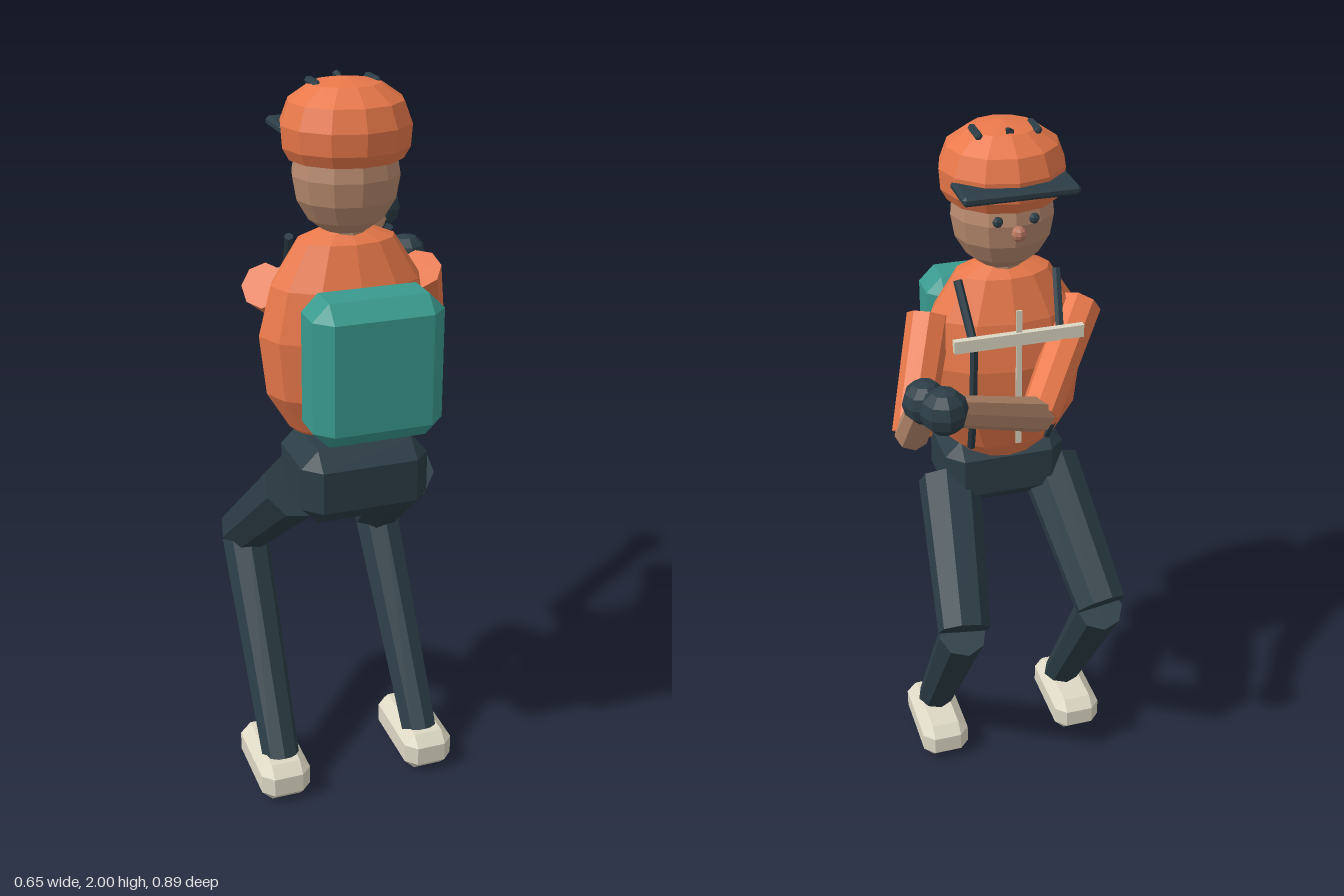
import * as THREE from 'three';
import { ConvexGeometry } from 'three/addons/geometries/ConvexGeometry.js';

const CX = -0.037, CZ = 0.155; // body axis

const paint = (color) => new THREE.MeshStandardMaterial({ color, flatShading: true });
const orange = paint(0xe8784a), teal = paint(0x3a9a8f), dark = paint(0x2c3d46);
const skin = paint(0xb88a6e), cream = paint(0xddd8c4), noseTone = paint(0xb87860);

export function createModel() {
  const model = new THREE.Group();
  model.name = 'hiker';

  const add = (name, geometry, material, x = 0, y = 0, z = 0) => {
    const mesh = new THREE.Mesh(geometry, material);
    mesh.name = name;
    mesh.position.set(x, y, z);
    model.add(mesh);
    return mesh;
  };

  // box with every edge cut at 45 degrees
  const chamferBox = (w, h, d, c) => {
    const pts = [];
    for (const sx of [-1, 1]) for (const sy of [-1, 1]) for (const sz of [-1, 1]) {
      for (let k = 0; k < 3; k++) {
        const cut = [c, c, c];
        cut[k] = 0;
        pts.push(new THREE.Vector3(sx * (w / 2 - cut[0]), sy * (h / 2 - cut[1]), sz * (d / 2 - cut[2])));
      }
    }
    return new ConvexGeometry(pts);
  };

  // tapered limb between two points
  const limb = (name, from, to, r0, r1, material, sides = 8) => {
    const a = new THREE.Vector3(...from), b = new THREE.Vector3(...to);
    const dir = b.clone().sub(a);
    const mesh = add(name, new THREE.CylinderGeometry(r1, r0, dir.length(), sides), material);
    mesh.position.copy(a).add(b).multiplyScalar(0.5);
    mesh.quaternion.setFromUnitVectors(new THREE.Vector3(0, 1, 0), dir.normalize());
    return mesh;
  };

  // faceted body of revolution, flattened front to back
  const turned = (name, profile, sides, depth, material) => {
    const geo = new THREE.LatheGeometry(profile.map(([r, y]) => new THREE.Vector2(r, y)), sides);
    geo.scale(1, 1, depth);
    return add(name, geo, material, CX, 0, CZ);
  };

  // torso, pelvis and backpack
  turned('torso', [[0, 1.03], [0.09, 1.04], [0.155, 1.1], [0.215, 1.2], [0.233, 1.36],
    [0.2, 1.49], [0.13, 1.6], [0.07, 1.625], [0, 1.63]], 12, 0.63, orange);
  add('pelvis', chamferBox(0.346, 0.205, 0.265, 0.045), dark, CX, 0.988, 0.223);
  add('backpack', chamferBox(0.342, 0.375, 0.172, 0.043), teal, CX, 1.328, 0.358);

  // neck and head
  add('neck', new THREE.CylinderGeometry(0.053, 0.058, 0.12, 10), skin, CX, 1.63, CZ);
  const head = new THREE.SphereGeometry(1, 12, 8);
  head.scale(0.139, 0.158, 0.13);
  add('head', head, skin, CX, 1.765, CZ);
  add('nose', new THREE.SphereGeometry(0.02, 8, 6), noseTone, CX, 1.755, 0.006);
  for (const s of [-1, 1]) {
    add('eye', new THREE.SphereGeometry(0.014, 6, 5), dark, CX + s * 0.048, 1.782, 0.03);
  }

  // cap with brim and vents
  turned('cap', [[0, 1.805], [0.146, 1.805], [0.163, 1.835], [0.167, 1.89], [0.146, 1.945],
    [0.088, 1.985], [0, 2]], 12, 0.94, orange);
  add('capBrim', chamferBox(0.303, 0.026, 0.13, 0.008), dark, CX, 1.866, 0.036);
  for (const s of [-1, 1]) {
    const vent = add('capVent', new THREE.CapsuleGeometry(0.011, 0.062, 2, 6), dark, CX + s * 0.077, 1.984, 0.13);
    vent.rotation.x = Math.PI / 2;
  }
  const button = add('capMiddleVent', new THREE.ConeGeometry(0.012, 0.04, 6), dark, CX, 1.99, 0.105);
  button.rotation.x = Math.PI / 2;

  // backpack straps, chest bar and thin upright
  for (const s of [-1, 1]) {
    const path = [[0.135, 1.6, 0.108], [0.118, 1.45, 0.014], [0.122, 1.22, 0.024], [0.11, 1.1, 0.09]]
      .map(([x, y, z]) => [CX + s * x, y, z]);
    for (let i = 0; i < 3; i++) limb('shoulderStrap', path[i], path[i + 1], 0.012, 0.012, dark, 6);
  }
  add('chestBar', new THREE.BoxGeometry(0.354, 0.035, 0.018), cream, CX, 1.465, 0);
  add('chestUpright', new THREE.BoxGeometry(0.016, 0.4, 0.005), cream, CX, 1.345, 0);

  // legs: bent at the knee, same on both sides
  for (const s of [-1, 1]) {
    const at = (x, y, z) => [CX + s * x, y, z];
    const side = s > 0 ? 'left' : 'right';
    limb(side + 'Thigh', at(0.15, 0.94, 0.19), at(0.203, 0.65, -0.152), 0.09, 0.074, dark);
    limb(side + 'Shin', at(0.205, 0.63, -0.14), at(0.213, 0.09, 0.215), 0.068, 0.053, dark);
    add(side + 'Shoe', chamferBox(0.143, 0.115, 0.277, 0.03), cream, CX + s * 0.217, 0.0575, 0.163);
  }

  // arms: one reaching out across the body, the other held close
  const arms = [
    { side: 'right', shoulder: [-0.243, 1.48, 0.115], elbow: [-0.058, 1.295, -0.115], hand: [0.263, 1.51, -0.383] },
    { side: 'left', shoulder: [0.168, 1.49, 0.145], elbow: [0.265, 1.24, -0.025], hand: [0.263, 1.425, -0.183] },
  ];
  for (const { side, shoulder, elbow, hand } of arms) {
    limb(side + 'UpperArm', shoulder, elbow, 0.06, 0.053, orange);
    limb(side + 'Forearm', elbow, hand, 0.047, 0.038, skin);
    add(side + 'Hand', new THREE.SphereGeometry(0.059, 8, 6), dark, ...hand);
  }

  return model;
}
